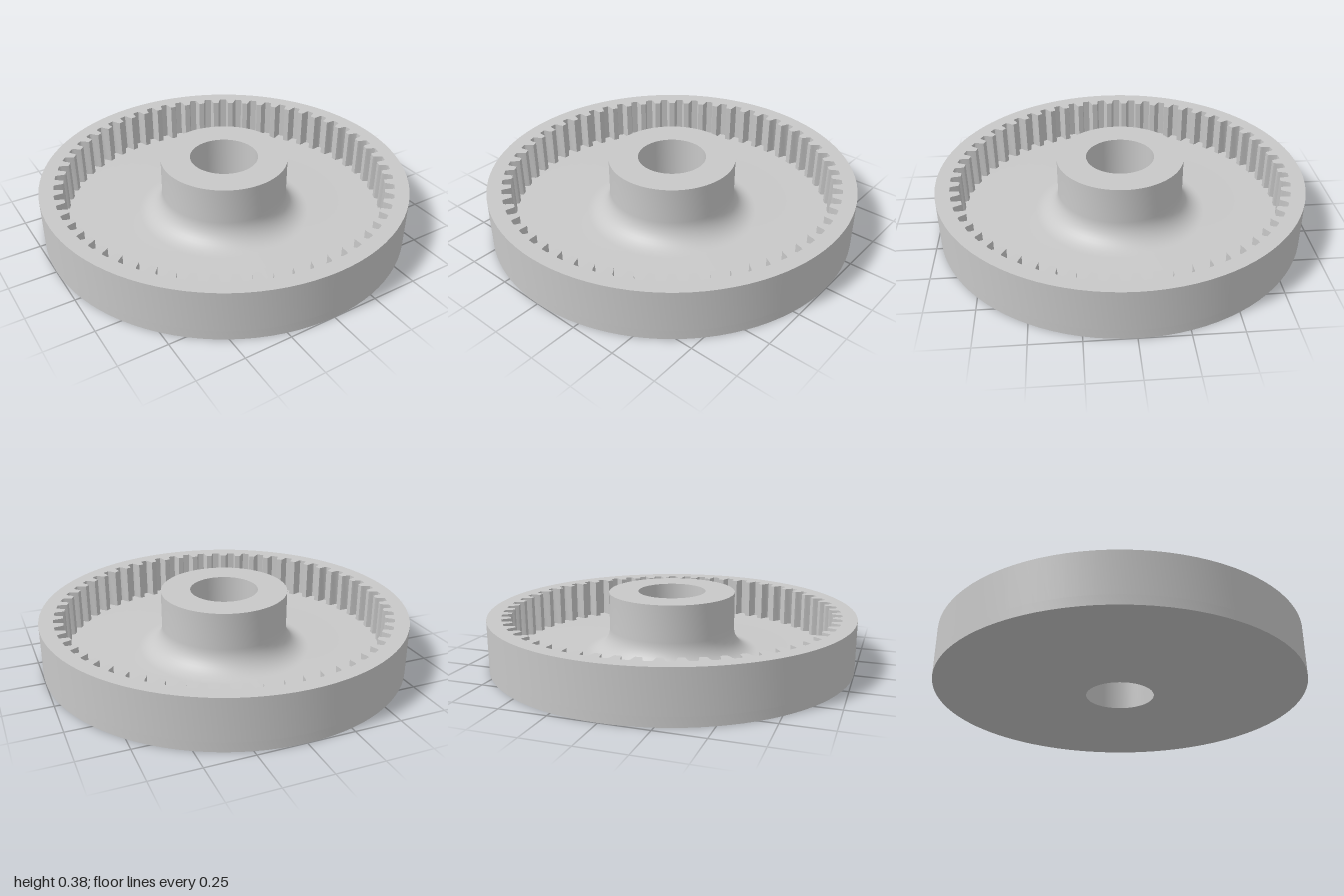
import * as THREE from 'three';
import { toCreasedNormals } from 'three/addons/utils/BufferGeometryUtils.js';

const OUTER = 1, HEIGHT = 0.275, FLOOR = 0.05;
const HUB = 0.345, HUB_TOP = 0.38, BORE = 0.185, FILLET = 0.13;
const TEETH = 58, SEGMENTS = 96;

// Closed outline of the internal teeth, with a gap centred on the z axis
function toothOutline() {
  // [offset as a fraction of the pitch, radius] across one tooth gap
  const gap = [
    [-0.34, 0.872], [-0.29, 0.884], [-0.24, 0.912], [-0.18, 0.923],
    [0.18, 0.923], [0.24, 0.912], [0.29, 0.884], [0.34, 0.872],
  ];
  const points = [];
  for (let i = 0; i < TEETH; i++) {
    for (const [offset, r] of gap) {
      const a = Math.PI / 2 + ((i + offset) / TEETH) * Math.PI * 2;
      points.push(new THREE.Vector2(Math.cos(a) * r, Math.sin(a) * r));
    }
  }
  return points;
}

export function createModel() {
  const group = new THREE.Group();
  group.name = 'ringGear';
  const steel = new THREE.MeshStandardMaterial({ color: 0xc8c8c8 });
  steel.name = 'light grey steel';

  const add = (name, geometry) => {
    const mesh = new THREE.Mesh(toCreasedNormals(geometry, 0.5), steel);
    mesh.name = name;
    group.add(mesh);
  };

  // Base plate and bored hub, joined by a quarter-round concave fillet
  const v = (x, y) => new THREE.Vector2(x, y);
  const fillet = [];
  for (let i = 0; i <= 10; i++) {
    const a = (i / 10) * (Math.PI / 2);
    fillet.push(v(HUB + FILLET * (1 - Math.sin(a)), FLOOR + FILLET * (1 - Math.cos(a))));
  }
  const profile = [
    v(BORE, 0), v(OUTER, 0), v(OUTER, FLOOR),
    ...fillet,
    v(HUB, HUB_TOP), v(BORE, HUB_TOP), v(BORE, 0),
  ];
  add('baseAndHub', new THREE.LatheGeometry(profile, SEGMENTS));

  // Toothed rim standing on the base plate
  const rim = new THREE.Shape();
  rim.absarc(0, 0, OUTER, 0, Math.PI * 2);
  rim.holes.push(new THREE.Path(toothOutline()));
  const rimGeometry = new THREE.ExtrudeGeometry(rim, {
    depth: HEIGHT - FLOOR, bevelEnabled: false, curveSegments: SEGMENTS / 2,
  });
  rimGeometry.rotateX(-Math.PI / 2);
  rimGeometry.translate(0, FLOOR, 0);
  add('toothedRim', rimGeometry);

  return group;
}
